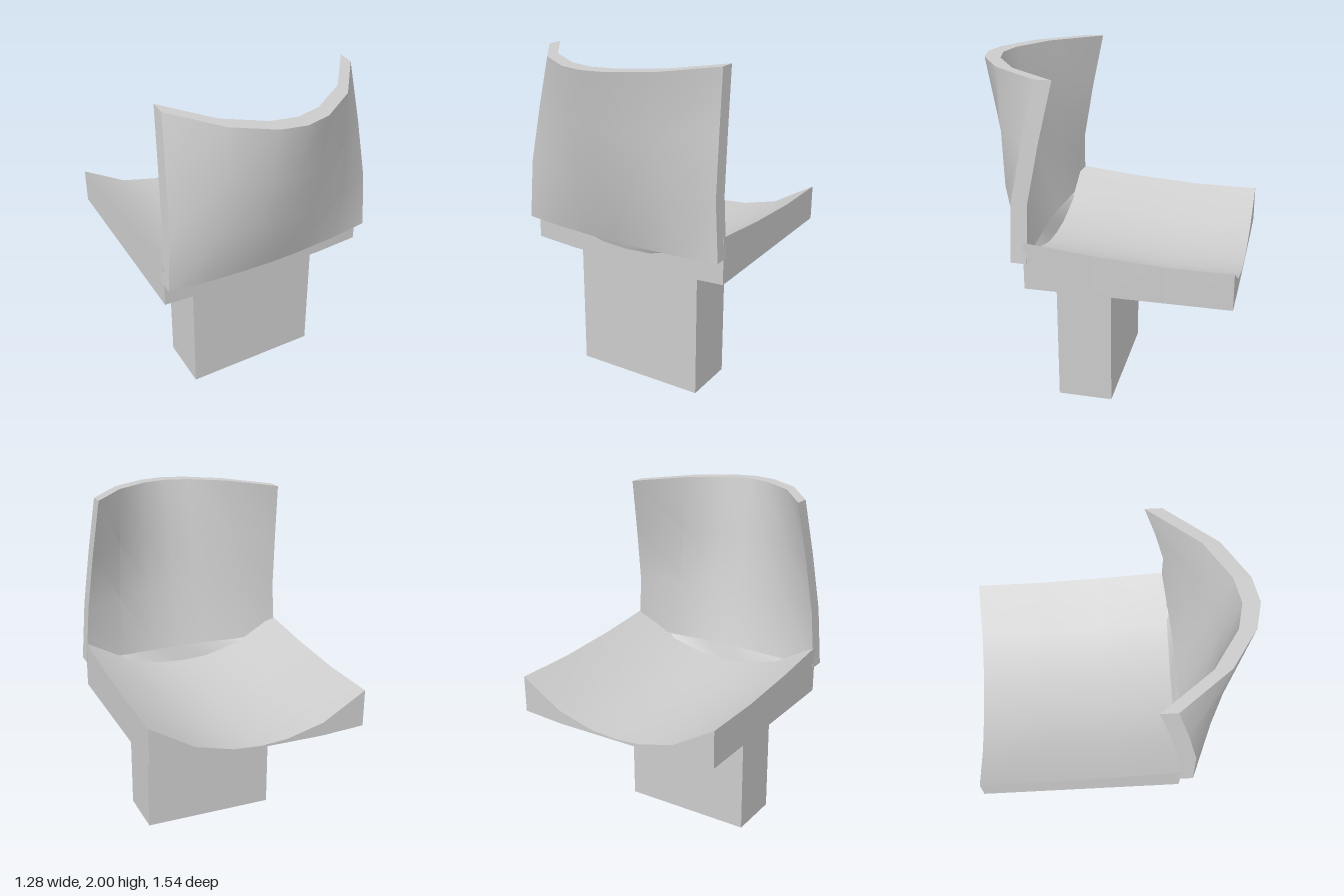
import * as THREE from 'three';
import { toCreasedNormals } from 'three/addons/utils/BufferGeometryUtils.js';

const material = new THREE.MeshStandardMaterial({ color: 0xcccccc, side: THREE.DoubleSide });

function part(name, geometry) {
  const mesh = new THREE.Mesh(geometry, material);
  mesh.name = name;
  return mesh;
}

// Closed slab between two grids of points [row][column], joined by walls round the rim
function slab(A, B) {
  const pos = [];
  const quad = (a, b, c, d) => [a, b, c, a, c, d].forEach((p) => pos.push(...p));
  const R = A.length - 1, C = A[0].length - 1;
  for (let j = 0; j < R; j++) {
    for (let i = 0; i < C; i++) {
      quad(A[j][i], A[j + 1][i], A[j + 1][i + 1], A[j][i + 1]);
      quad(B[j][i], B[j][i + 1], B[j + 1][i + 1], B[j + 1][i]);
    }
    quad(A[j + 1][0], A[j][0], B[j][0], B[j + 1][0]);
    quad(A[j][C], A[j + 1][C], B[j + 1][C], B[j][C]);
  }
  for (let i = 0; i < C; i++) {
    quad(A[0][i], A[0][i + 1], B[0][i + 1], B[0][i]);
    quad(A[R][i + 1], A[R][i], B[R][i], B[R][i + 1]);
  }
  const g = new THREE.BufferGeometry();
  g.setAttribute('position', new THREE.Float32BufferAttribute(pos, 3));
  return toCreasedNormals(g, 0.6);
}

// Mirrors half a row of [x, value] pairs, running from the middle outwards
const mirror = (half) => [...half.slice(1).reverse().map(([x, v]) => [-x, v]), ...half];
const shift = (grid, dz) => grid.map((row) => row.map(([x, y, z]) => [x, y, z + dz]));

export function createModel() {
  const group = new THREE.Group();

  // Hollow pedestal, open underneath
  const pedestal = new THREE.CylinderGeometry(Math.SQRT1_2, Math.SQRT1_2, 1, 4, 1, true).toNonIndexed();
  pedestal.rotateY(Math.PI / 4).scale(0.81, 0.812, 0.325).translate(0, 0.406, 0.112);
  pedestal.computeVertexNormals();
  group.add(part('pedestal', pedestal));

  // Seat: dished across its width, rising towards the back
  const seatColumns = mirror([[0, 1], [0.16, 0.95], [0.38, 0.69], [0.635, 0]]); // x, share of dip
  const seatRows = [[-0.77, 1.04, 0.82], [-0.4, 1.04, 0.82], [0, 1.065, 0.85], [0.39, 1.105, 0.89]]; // z, rim y, middle y
  const top = seatRows.map(([z, rim, mid]) =>
    seatColumns.map(([x, f]) => [x, rim + (mid - rim) * f, z]));
  const bottom = seatRows.map(([z]) =>
    seatColumns.map(([x]) => [x, Math.abs(x) > 0.5 ? 0.825 : 0.81, z]));
  group.add(part('seat', slab(top, bottom)));

  // Backrest: wrapped round the sitter, leaning away in the middle
  const backColumns = mirror([[0, 1], [0.25, 0.93], [0.62, 0.62], [1, 0]]); // share of half width, share of depth
  const backRows = [
    [0.98, 0.64, 0.37, 0.42],
    [1.33, 0.615, 0.36, 0.54],
    [1.67, 0.59, 0.295, 0.605],
    [2, 0.562, 0.22, 0.675],
  ]; // y, half width, edge z, middle z
  const inner = backRows.map(([y, w, edge, mid]) =>
    backColumns.map(([s, f]) => [s * w, y, edge + (mid - edge) * f]));
  group.add(part('backrest', slab(inner, shift(inner, 0.093))));

  // Thin web closing the gap between the dished seat and the backrest
  const webColumns = mirror([[0, 0.89], [0.16, 0.9], [0.38, 0.957], [0.42, 0.98]]); // x, lower y
  const web = [
    webColumns.map(([x, y]) => [x, y, 0.387]),
    webColumns.map(([x]) => [x, 0.982, 0.42 - 0.07 * x * x]),
  ];
  group.add(part('backrestWeb', slab(web, shift(web, 0.004))));

  return group;
}
